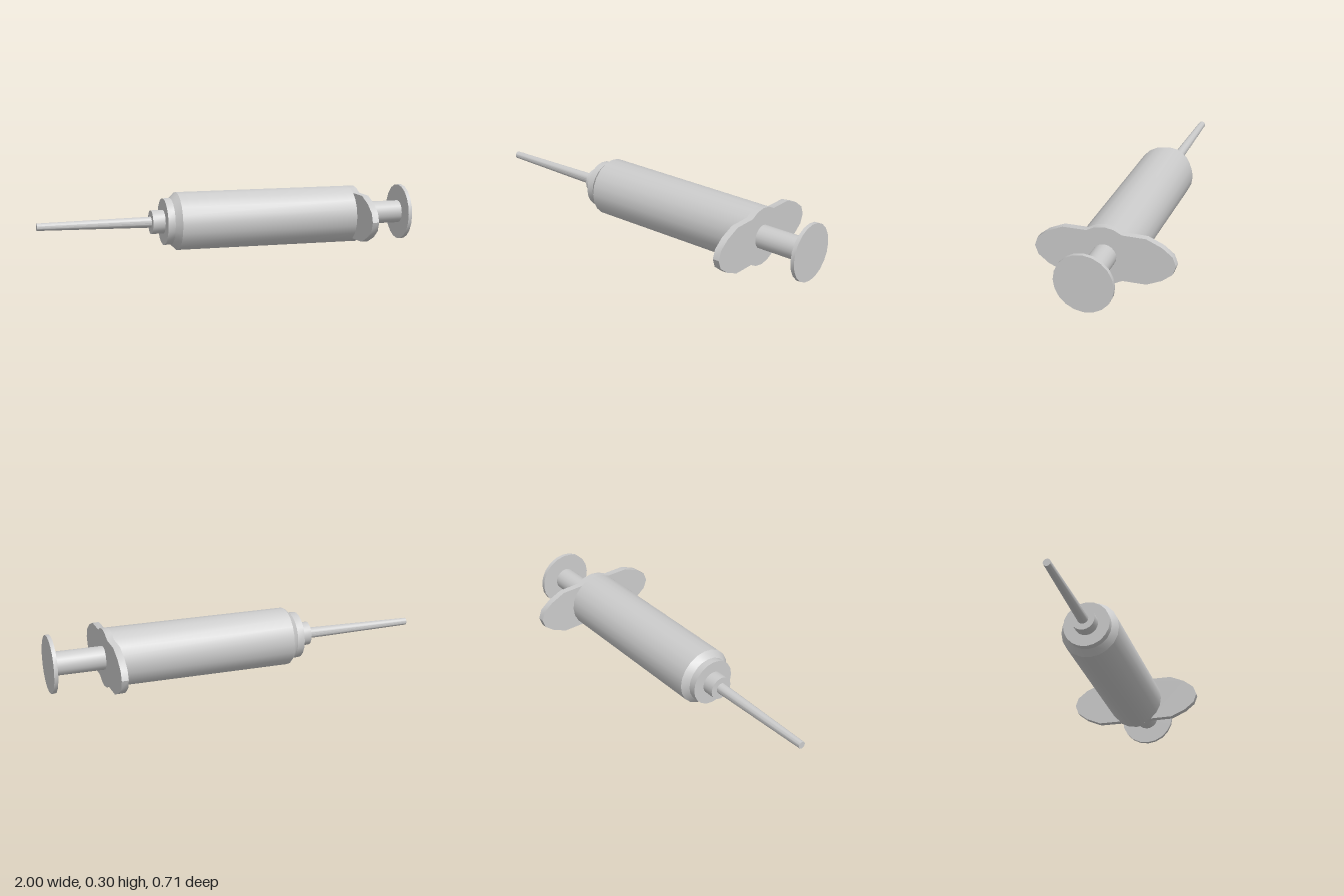
import * as THREE from 'three';
import { toCreasedNormals } from 'three/addons/utils/BufferGeometryUtils.js';

const AXIS_Y = 0.153;
const SIDES = 20;

export function createModel() {
  const model = new THREE.Group();
  model.name = 'syringe';
  const material = new THREE.MeshStandardMaterial({ color: 0xcccccc });

  const add = (name, geometry) => {
    const mesh = new THREE.Mesh(toCreasedNormals(geometry, 0.6), material);
    mesh.name = name;
    mesh.position.y = AXIS_Y;
    model.add(mesh);
  };

  // Turned part along x; profile is [x, radius] from left to right
  const turned = (name, profile) => {
    const points = profile.map(([x, r]) => new THREE.Vector2(r, x));
    add(name, new THREE.LatheGeometry(points, SIDES).rotateZ(-Math.PI / 2));
  };

  turned('needle', [[-1, 0], [-1, 0.019], [-0.4, 0.029], [-0.4, 0]]);
  turned('needleHub', [[-0.41, 0], [-0.41, 0.062], [-0.34, 0.062], [-0.34, 0]]);
  turned('barrel', [
    [-0.345, 0], [-0.345, 0.122], [-0.307, 0.122], [-0.275, 0.152], [0.7, 0.152], [0.7, 0],
  ]);
  turned('plungerRod', [[0.7, 0], [0.7, 0.061], [0.985, 0.061], [0.985, 0]]);
  turned('thumbRest', [[0.98, 0], [0.98, 0.149], [1, 0.149], [1, 0]]);

  // Finger flange: one quarter outline mirrored into four, bulging round the barrel
  const quarter = [
    [0.357, 0], [0.34, 0.047], [0.288, 0.088], [0.21, 0.122],
    [0.0893, 0.123], [0.047, 0.1446], [0, 0.152],
  ];
  const half = [...quarter, ...quarter.slice(0, -1).reverse().map(([z, y]) => [-z, y])];
  const outline = [...half, ...half.slice(1, -1).reverse().map(([z, y]) => [z, -y])];
  const shape = new THREE.Shape(outline.map(([z, y]) => new THREE.Vector2(z, y)));
  const flange = new THREE.ExtrudeGeometry(shape, { depth: 0.035, bevelEnabled: false });
  add('fingerFlange', flange.rotateY(-Math.PI / 2).translate(0.715, 0, 0));

  return model;
}
